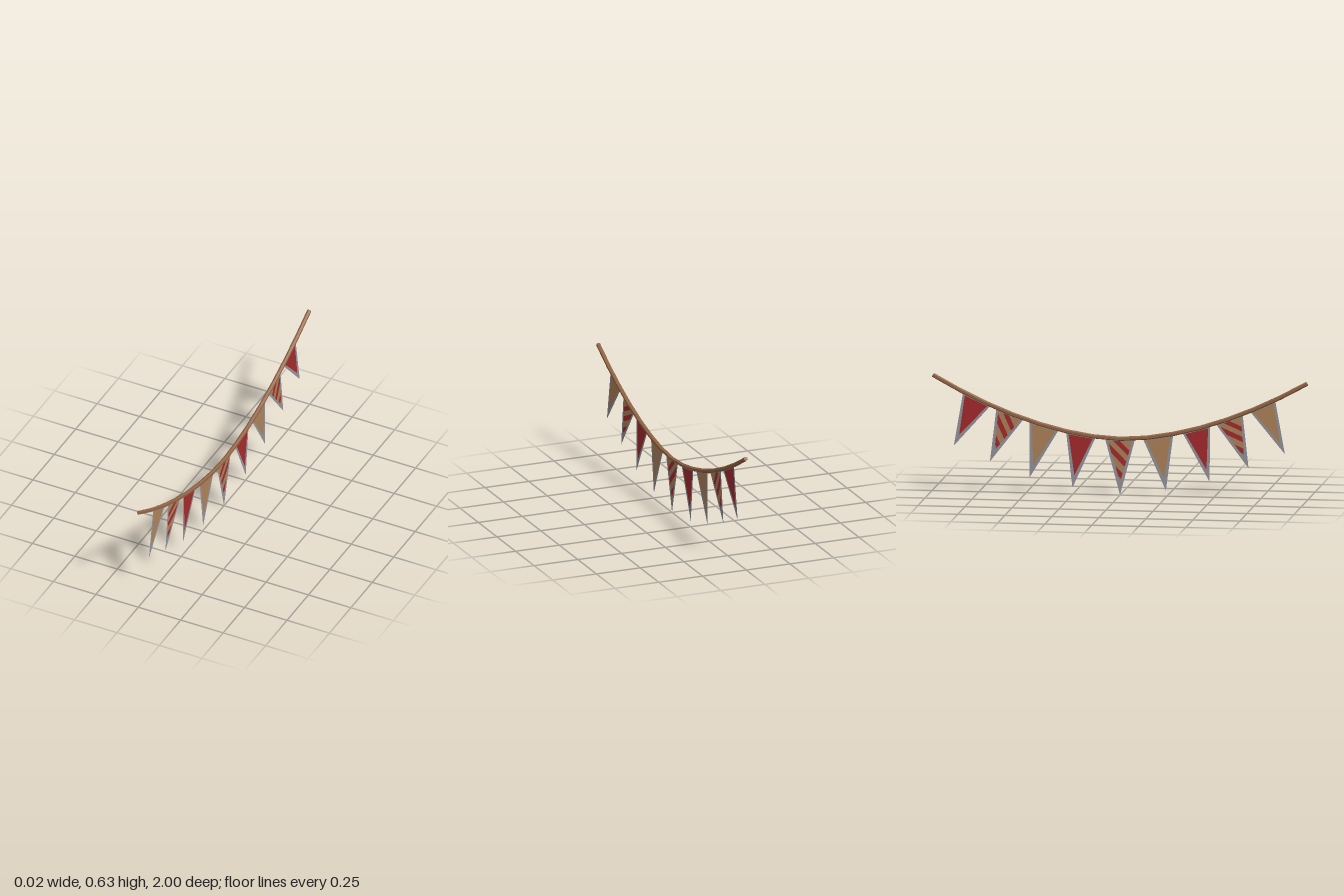
import * as THREE from 'three';

const makeMaterial = (name, color, side = THREE.FrontSide) => {
  const m = new THREE.MeshStandardMaterial({ color, side });
  m.name = name;
  return m;
};

// height of the sagging rope at a given z
const ropeY = z => 0.3 + 0.32 * Math.pow(Math.abs(z), 1.8);

// flat-shaded geometry from convex polygons, each a list of Vector3
function polygonsGeometry(polygons) {
  const points = [];
  for (const p of polygons)
    for (let i = 1; i < p.length - 1; i++) points.push(p[0], p[i], p[i + 1]);
  const geometry = new THREE.BufferGeometry().setFromPoints(points);
  geometry.computeVertexNormals();
  return geometry;
}

// six-sided rope with an edge on top, swept along the sag
function ropeGeometry(radius = 0.0115, segments = 14, end = 0.995) {
  const rings = [];
  for (let i = 0; i <= segments; i++) {
    const z = -end + (2 * end * i) / segments;
    const slope = (ropeY(z + 0.01) - ropeY(z - 0.01)) / 0.02;
    const normal = new THREE.Vector3(0, 1, -slope).normalize();
    const ring = [];
    for (let k = 0; k < 6; k++) {
      const a = Math.PI / 2 + (k * Math.PI) / 3;
      ring.push(new THREE.Vector3(0, ropeY(z), z)
        .addScaledVector(normal, radius * Math.sin(a))
        .add(new THREE.Vector3(radius * Math.cos(a), 0, 0)));
    }
    rings.push(ring);
  }
  const polygons = [[...rings[0]].reverse(), rings[segments]];
  for (let i = 0; i < segments; i++)
    for (let k = 0; k < 6; k++) {
      const n = (k + 1) % 6;
      polygons.push([rings[i][k], rings[i][n], rings[i + 1][n], rings[i + 1][k]]);
    }
  return polygonsGeometry(polygons);
}

// Flag coordinates: p runs across the top edge, q from the top edge to the tip
const OUTER = [[0, 0], [1, 0], [0.5, 1]];
const FIELD = [[0.1, 0.05], [0.9, 0.05], [0.5, 0.77]];
const diagonal = ([p, q]) => 30 * (p - 0.5) + 56 * q;

// keep the part of a convex polygon where sign * (diagonal - limit) >= 0
function clip(polygon, limit, sign) {
  const out = [];
  polygon.forEach((a, i) => {
    const b = polygon[(i + 1) % polygon.length];
    const da = sign * (diagonal(a) - limit), db = sign * (diagonal(b) - limit);
    if (da >= 0) out.push(a);
    if (da * db < 0) {
      const t = da / (da - db);
      out.push([a[0] + (b[0] - a[0]) * t, a[1] + (b[1] - a[1]) * t]);
    }
  });
  return out;
}

// field cut into alternating plain and stripe bands
const STRIPE_EDGES = [-30, 3, 9.5, 16.5, 23.5, 32, 39, 80];
const bands = STRIPE_EDGES.slice(0, -1).map((low, i) =>
  clip(clip(FIELD, low, 1), STRIPE_EDGES[i + 1], -1));
const usable = start => bands.filter((b, i) => i % 2 === start && b.length > 2);

const border = OUTER.map((o, i) => {
  const n = (i + 1) % 3;
  return [o, OUTER[n], FIELD[n], FIELD[i]];
});

// top corner z, other top corner z, tip z, tip y
const FLAGS = [
  [0.825, 0.69, 0.877, 0.239],
  [0.652, 0.507, 0.684, 0.158],
  [0.48, 0.33, 0.476, 0.083],
  [0.284, 0.12, 0.244, 0.03],
  [0.081, -0.081, 0, 0],
  [-0.128, -0.287, -0.253, 0.033],
  [-0.324, -0.48, -0.48, 0.083],
  [-0.51, -0.657, -0.692, 0.162],
  [-0.686, -0.834, -0.884, 0.242],
];

export function createModel() {
  const model = new THREE.Group();
  model.name = 'bunting';
  const rope = makeMaterial('rope brown', 0x936646);
  const grey = makeMaterial('border grey', 0x95959c, THREE.DoubleSide);
  const tan = makeMaterial('cloth tan', 0xb0835a, THREE.DoubleSide);
  const red = makeMaterial('cloth red', 0xa62a2d, THREE.DoubleSide);

  const ropeMesh = new THREE.Mesh(ropeGeometry(), rope);
  ropeMesh.name = 'rope';
  model.add(ropeMesh);

  FLAGS.forEach(([z0, z1, tipZ, tipY], i) => {
    const flag = new THREE.Group();
    flag.name = `flag${i + 1}`;
    const a = new THREE.Vector3(0, ropeY(z0), z0);
    const b = new THREE.Vector3(0, ropeY(z1), z1);
    const across = b.clone().sub(a);
    const down = new THREE.Vector3(0, tipY, tipZ).sub(a).addScaledVector(across, -0.5);
    const place = ([p, q]) => a.clone().addScaledVector(across, p).addScaledVector(down, q);
    const addPart = (name, polygons, material) => {
      // reversed so the faces point to +x
      const placed = polygons.map(poly => poly.map(place).reverse());
      const mesh = new THREE.Mesh(polygonsGeometry(placed), material);
      mesh.name = name;
      flag.add(mesh);
    };
    addPart('flagBorder', border, grey);
    // plain tan, striped and plain red flags take turns
    if (i % 3 === 1) {
      addPart('flagField', usable(0), tan);
      addPart('flagStripes', usable(1), red);
    } else {
      addPart('flagField', [FIELD], i % 3 === 0 ? tan : red);
    }
    model.add(flag);
  });
  return model;
}
